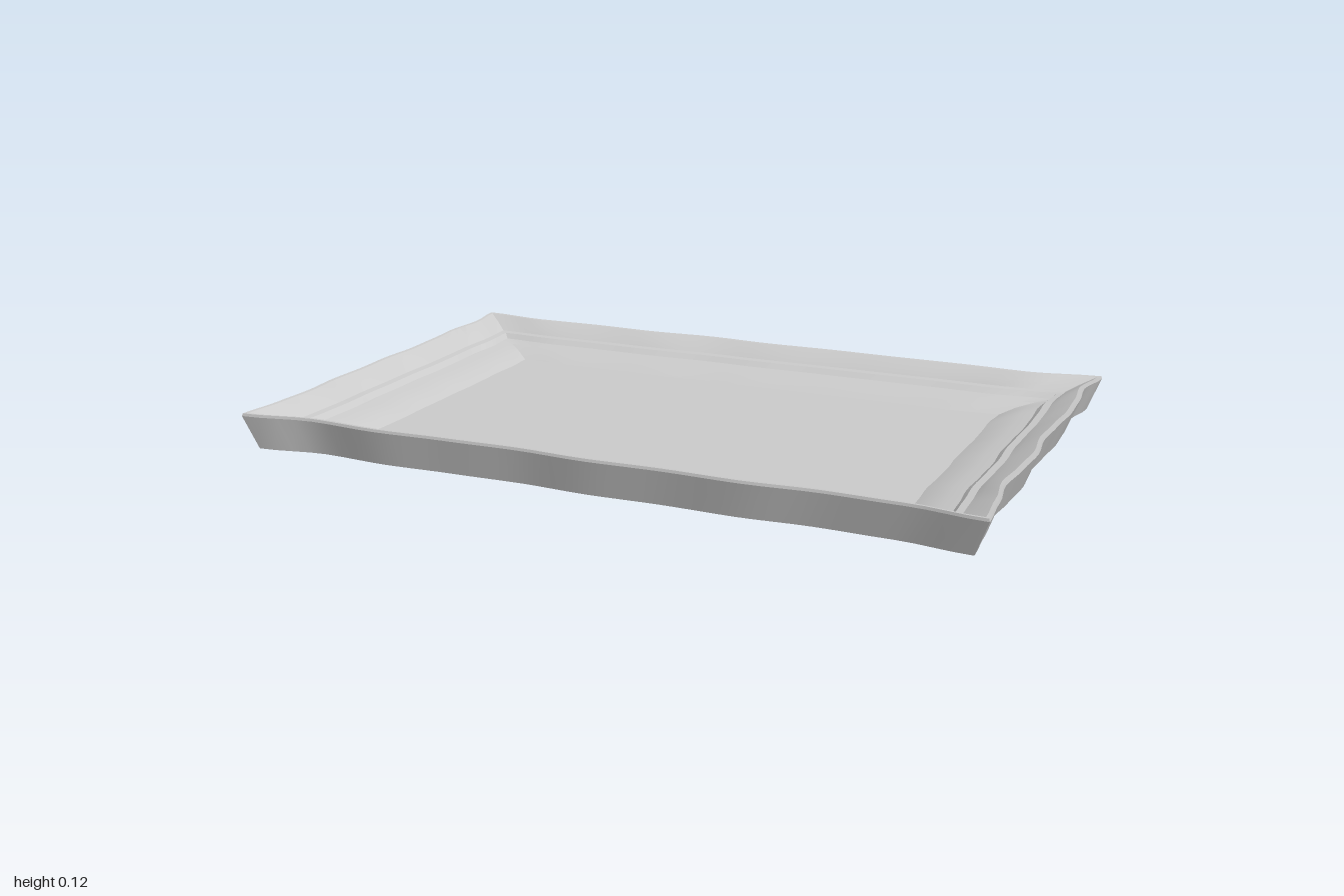
import * as THREE from 'three';
import { toCreasedNormals } from 'three/addons/utils/BufferGeometryUtils.js';

const SEGMENTS = 40; // per side

// Inward ripple of the rim along each side, corner to corner
const ripples = {
  front: [0, -0.031, -0.018, -0.026, -0.031, -0.02, -0.026, -0.02, -0.032, -0.026, 0],
  right: [0, -0.01, -0.026, -0.016, -0.009, -0.022, -0.016, -0.008, -0.012, -0.024, 0],
  back: [0, -0.033, -0.024, -0.024, -0.02, -0.024, -0.013, -0.024, -0.018, -0.022, 0],
  left: [0, -0.018, -0.008, -0.016, -0.02, -0.012, -0.016, -0.012, -0.02, -0.014, 0],
};

function ripple(side, u) {
  const k = ripples[side];
  const f = u * (k.length - 1), i = Math.min(Math.floor(f), k.length - 2), s = f - i;
  return THREE.MathUtils.lerp(k[i], k[i + 1], s * s * (3 - 2 * s));
}

// One rippled rectangular ring, counter-clockwise seen from above
function ring([hx, hz, y, weight]) {
  const points = [];
  for (const side of ['front', 'right', 'back', 'left']) {
    for (let i = 0; i < SEGMENTS; i++) {
      const u = i / SEGMENTS, t = u * 2 - 1, w = ripple(side, u) * weight;
      if (side === 'front') points.push([t * hx, y, hz + w]);
      if (side === 'right') points.push([hx + w, y, -t * hz]);
      if (side === 'back') points.push([-t * hx, y, -hz - w]);
      if (side === 'left') points.push([-hx - w, y, t * hz]);
    }
  }
  return points;
}

// Skin consecutive rings; the first and last collapse to a centre point
function skin(profile, crease) {
  const rings = profile.map(ring), n = SEGMENTS * 4, last = rings.length - 2, index = [];
  for (let r = 0; r <= last; r++) {
    for (let i = 0; i < n; i++) {
      const a = r * n + i, b = r * n + (i + 1) % n;
      if (r > 0) index.push(a, b, b + n);
      if (r < last) index.push(a, b + n, a + n);
    }
  }
  const geometry = new THREE.BufferGeometry();
  geometry.setAttribute('position', new THREE.Float32BufferAttribute(rings.flat(2), 3));
  geometry.setIndex(index);
  return toCreasedNormals(geometry, crease);
}

export function createModel() {
  const group = new THREE.Group();
  group.name = 'tray';
  const material = new THREE.MeshStandardMaterial({ color: 0xcccccc });

  // Half width, half depth, height, ripple strength
  const profile = [
    [0, 0, 0.01, 0],
    [0.755, 0.435, 0.01, 0.2],     // recessed base
    [0.775, 0.452, 0.003, 0.2],
    [0.85, 0.525, 0, 0.3],         // foot
    [0.92, 0.585, 0.01, 0.6],
    [0.964, 0.627, 0.02, 0.9],     // lower edge of the outer wall
    [0.999, 0.646, 0.11, 1],       // outer wall
    [0.997, 0.644, 0.117, 1],      // rim
    [0.987, 0.634, 0.116, 1],
    [0.945, 0.6, 0.097, 0.8],      // upper inner wall
    [0.912, 0.572, 0.08, 0.4],
    [0.892, 0.553, 0.078, 0.4],    // shelf
    [0.878, 0.538, 0.064, 0.5],    // step below the shelf
    [0.84, 0.502, 0.058, 0.4],     // rounded lower wall
    [0.795, 0.466, 0.047, 0.3],
    [0.757, 0.436, 0.031, 0.3],    // floor edge
    [0, 0, 0.031, 0],
  ];
  const body = new THREE.Mesh(skin(profile, 0.33), material);
  body.name = 'trayBody';
  group.add(body);
  return group;
}
